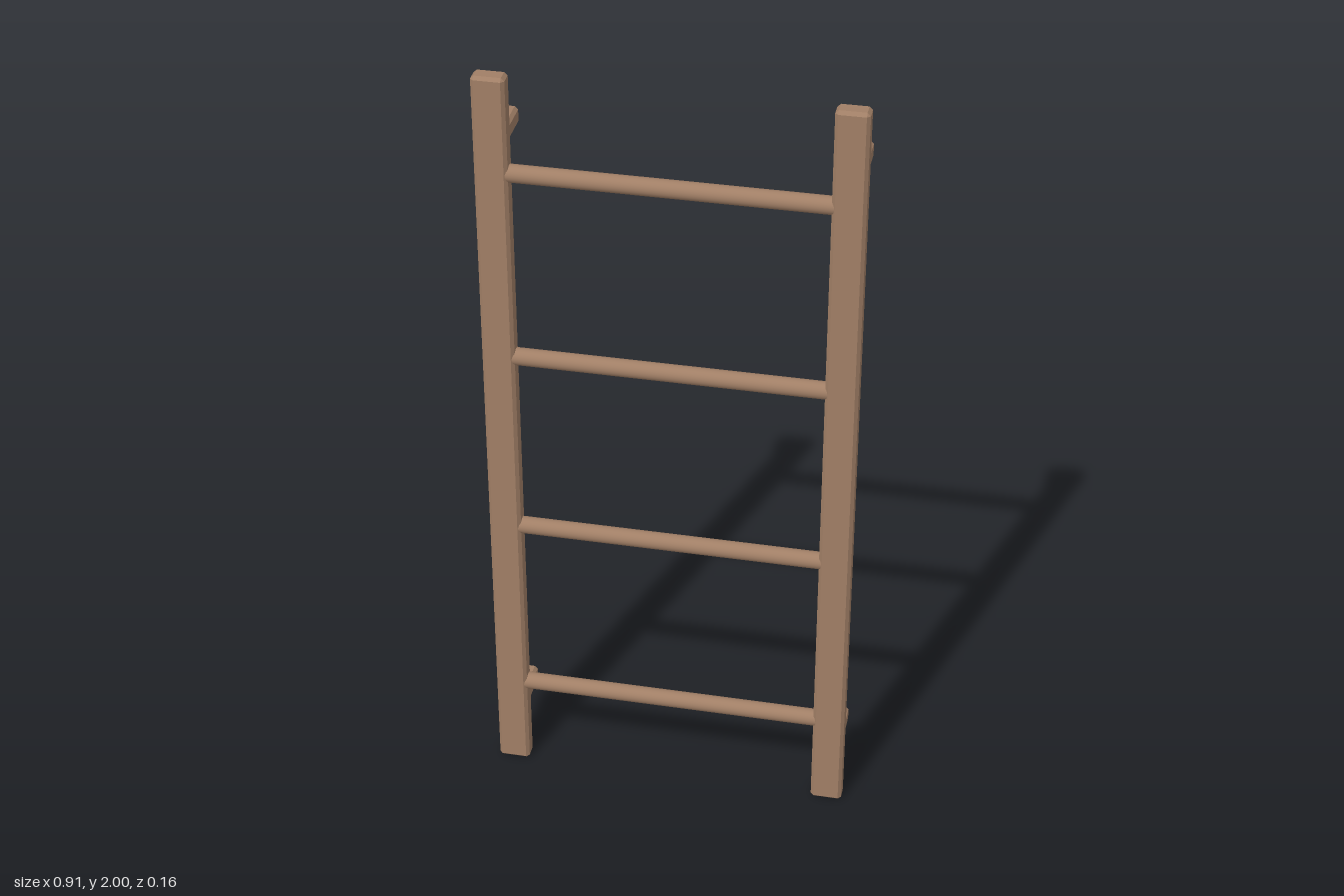
import * as THREE from 'three';
import { ConvexGeometry } from 'three/addons/geometries/ConvexGeometry.js';

// Box with every edge cut by a flat chamfer c
function chamferBox(w, h, d, c) {
  const points = [];
  for (const sx of [-1, 1]) for (const sy of [-1, 1]) for (const sz of [-1, 1]) {
    const x = w / 2, y = h / 2, z = d / 2;
    points.push(
      new THREE.Vector3(sx * x, sy * (y - c), sz * (z - c)),
      new THREE.Vector3(sx * (x - c), sy * y, sz * (z - c)),
      new THREE.Vector3(sx * (x - c), sy * (y - c), sz * z));
  }
  return new ConvexGeometry(points);
}

export function createModel() {
  const model = new THREE.Group();
  model.name = 'ladderRack';
  const wood = new THREE.MeshStandardMaterial({ color: 0xa17f66 });
  wood.name = 'brown wood';

  const add = (name, geometry, x, y, z) => {
    const mesh = new THREE.Mesh(geometry, wood);
    mesh.name = name;
    mesh.position.set(x, y, z);
    model.add(mesh);
    return mesh;
  };

  const railX = 0.417, railZ = 0.054;
  const railGeometry = chamferBox(0.08, 2, 0.047, 0.008);
  const bracketGeometry = chamferBox(0.064, 0.045, 0.118, 0.008);

  // Upright rails, each with two wall brackets behind
  for (const [side, s] of [['left', 1], ['right', -1]]) {
    add(side + 'Rail', railGeometry, s * railX, 1, railZ);
    add(side + 'LowerBracket', bracketGeometry, s * railX, 0.173, -0.02);
    add(side + 'UpperBracket', bracketGeometry, s * railX, 1.835, -0.02);
  }

  // Round rungs, ends buried in the rails
  const rungGeometry = new THREE.CylinderGeometry(0.022, 0.022, 0.78, 24);
  rungGeometry.rotateZ(Math.PI / 2);
  for (let i = 0; i < 4; i++) add('rung' + (i + 1), rungGeometry, 0, 0.25 + i * 0.5, railZ);

  return model;
}
